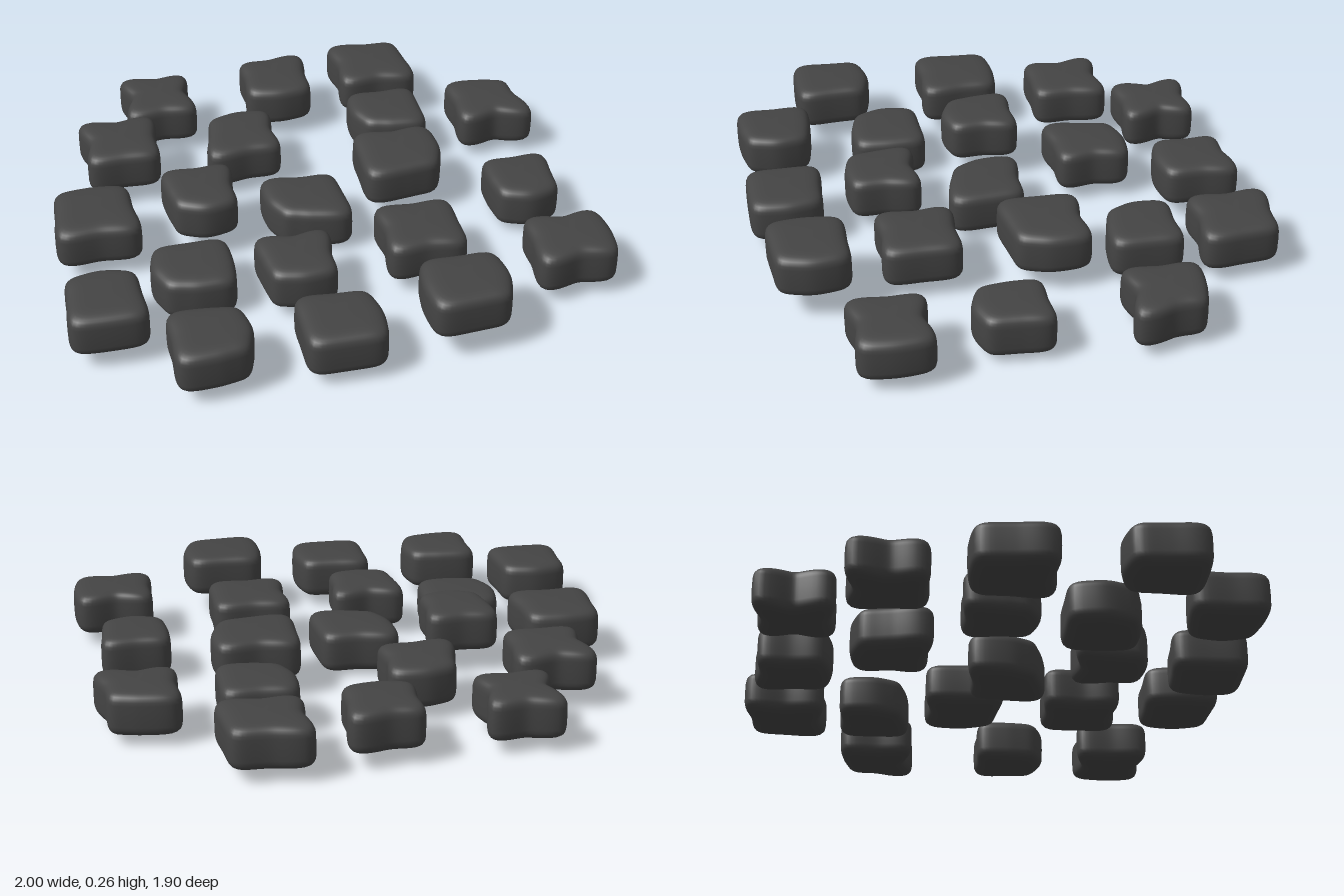
import * as THREE from 'three';
import { mergeVertices } from 'three/addons/utils/BufferGeometryUtils.js';

const HEIGHT = 0.17;
const material = new THREE.MeshStandardMaterial({ color: 0x444444 });

// Rounded side profile, from the bottom centre to the top centre
const profile = [];
for (let i = 0; i <= 20; i++) {
  const t = -Math.PI / 2 + (Math.PI * i) / 20;
  const r = i % 20 ? Math.pow(Math.cos(t), 0.4) : 0;
  profile.push(new THREE.Vector2(r, (Math.sign(t) * Math.pow(Math.abs(Math.sin(t)), 0.4) * HEIGHT) / 2));
}

// Smooth closed interpolation through the eight reaches
function reachAt(reach, angle) {
  const u = (((angle / (Math.PI / 4)) % 8) + 8) % 8;
  const i = Math.floor(u), f = u - i;
  const [a, b, c, d] = [-1, 0, 1, 2].map((k) => {
    const j = (i + k + 8) % 8;
    return (reach[j] / 100) * (j % 2 ? 1.122 : 1);
  });
  return b + 0.5 * f * (c - a + f * (2 * a - 5 * b + 4 * c - d + f * (3 * (b - c) + d - a)));
}

// Rounded square outline, stretched per direction
function outline(reach, angle) {
  const c = Math.abs(Math.cos(angle)), s = Math.abs(Math.sin(angle));
  return reachAt(reach, angle) / Math.pow(c ** 6 + s ** 6, 1 / 6);
}

// reach: hundredths of a unit from the centre to +x, then each 45 degrees via +z
function stone(x, z, bottom, ...reach) {
  let geometry = new THREE.LatheGeometry(profile, 72);
  const p = geometry.attributes.position;
  for (let i = 0; i < p.count; i++) {
    const px = p.getX(i), pz = p.getZ(i);
    const k = outline(reach, Math.atan2(pz, px));
    p.setX(i, px * k);
    p.setZ(i, pz * k);
  }
  geometry.deleteAttribute('uv');
  geometry.deleteAttribute('normal');
  geometry = mergeVertices(geometry, 1e-5);
  geometry.computeVertexNormals();
  const mesh = new THREE.Mesh(geometry, material);
  mesh.position.set(x, bottom + HEIGHT / 2, z);
  return mesh;
}

export function createModel() {
  const model = new THREE.Group();
  model.name = 'pavingStones';
  const rows = {
    backRow: [
      stone(-0.48, -0.73, 0.04, 11, 13, 13.5, 13.5, 11, 13.5, 12.5, 12.5),
      stone(0, -0.76, 0.05, 13.5, 12.5, 15.5, 12, 12, 11.5, 12.5, 13.5),
      stone(0.42, -0.8, 0.04, 15, 14.5, 14, 14, 14, 14.5, 14, 12.5),
    ],
    secondRow: [
      stone(-0.68, -0.4, 0.065, 14, 13, 14, 13, 12, 14, 13, 14),
      stone(-0.2, -0.39, 0.04, 12, 12.5, 14, 14.5, 13.5, 11, 15, 12.5),
      stone(0.4, -0.45, 0.03, 14, 12.5, 13, 10, 14.5, 12.5, 13, 12.5),
      stone(0.82, -0.44, 0.03, 12, 14, 12, 13.5, 14, 13.5, 14, 10.5),
    ],
    middleRow: [
      stone(-0.83, 0.02, 0.05, 14.5, 14.5, 15, 14.5, 15, 13, 15.5, 13),
      stone(-0.43, 0, 0.08, 12, 11.5, 15, 10.5, 13, 12.5, 13, 12.5),
      stone(-0.04, 0.05, 0.01, 15, 14, 13.5, 10, 15, 14, 13.5, 12.5),
      stone(0.36, -0.1, 0.065, 16.5, 12, 14.5, 14.5, 16, 14, 13.5, 14),
      stone(0.79, 0.1, 0.02, 12.5, 11, 15, 11, 13, 11.5, 12.5, 12),
    ],
    fourthRow: [
      stone(-0.86, 0.54, 0.055, 13.5, 13, 15, 13, 13.5, 12, 15.5, 12),
      stone(-0.52, 0.36, 0, 15, 12.5, 14, 11, 15.5, 12.5, 14, 13),
      stone(-0.15, 0.43, 0.035, 12.5, 11.5, 14, 11, 13.5, 13, 12, 13),
      stone(0.32, 0.36, 0.045, 15, 13.5, 13.5, 13.5, 13.5, 13.5, 14, 13.5),
      stone(0.84, 0.53, 0.04, 16, 13, 12.5, 14, 14.5, 13, 11.5, 13),
    ],
    frontRow: [
      stone(-0.53, 0.8, 0.045, 14.5, 11, 14, 13, 14, 13, 14, 11.5),
      stone(-0.08, 0.8, 0.035, 15.5, 13, 14.5, 13, 14.5, 13, 13.5, 12),
      stone(0.38, 0.76, 0.09, 16, 12, 14, 13.5, 16, 13, 14, 13),
    ],
  };
  for (const [name, stones] of Object.entries(rows)) {
    const row = new THREE.Group();
    row.name = name;
    stones.forEach((s, i) => {
      s.name = `${name}Stone${i + 1}`;
      row.add(s);
    });
    model.add(row);
  }
  return model;
}
